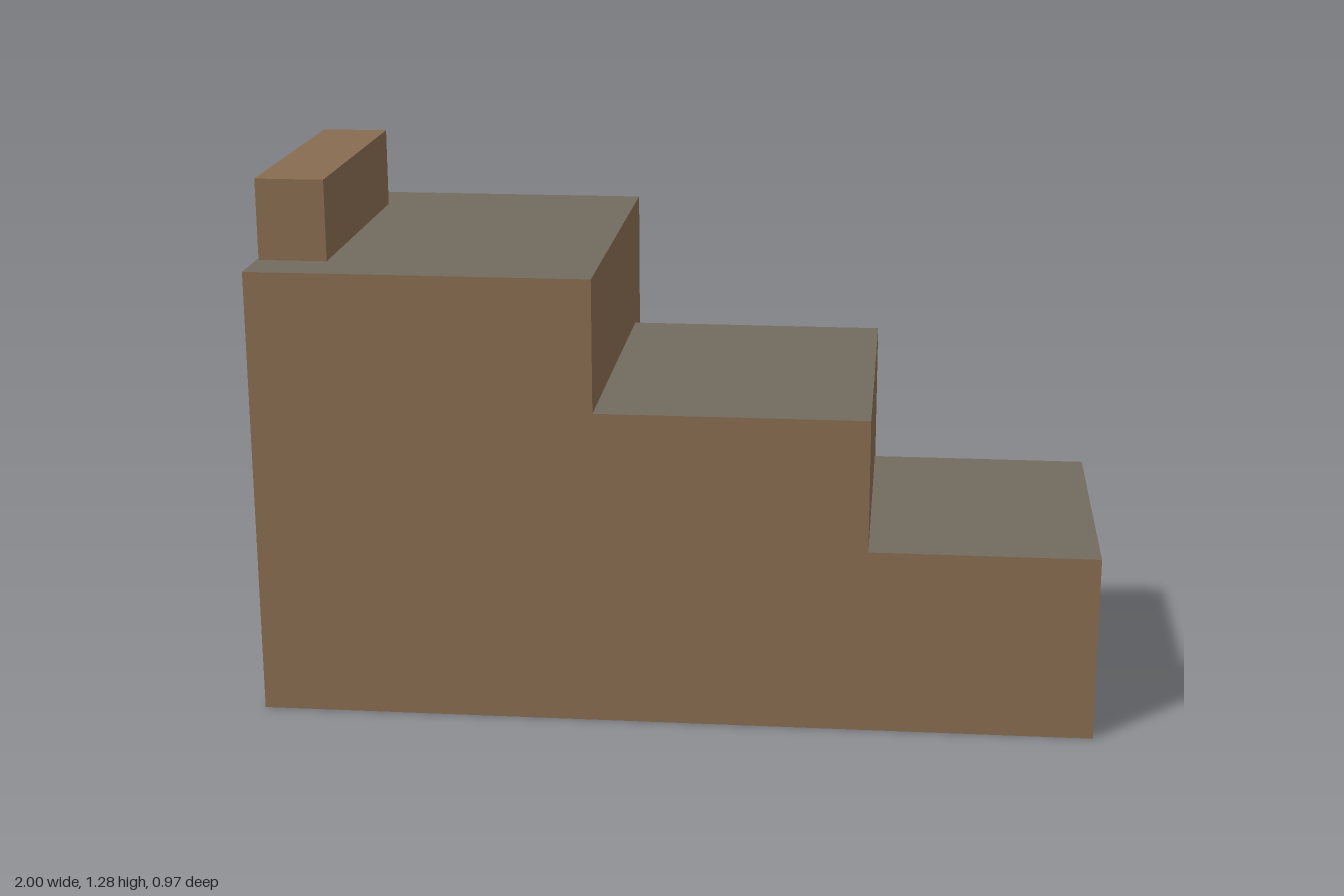
import * as THREE from 'three';

const FRONT = 0.483;

// Treads from the tall end to the low end: x range, height and back edge
const steps = [
  { name: 'upper', x0: -1, x1: -0.186, top: 1.09, back: -0.483 },
  { name: 'middle', x0: -0.186, x1: 0.46, top: 0.77, back: -0.376 },
  { name: 'lower', x0: 0.46, x1: 1, top: 0.45, back: -0.268 },
];

export function createModel() {
  const model = new THREE.Group();
  const wood = new THREE.MeshStandardMaterial({ color: 0x876b50, side: THREE.DoubleSide });
  wood.name = 'brown wood';
  const carpet = new THREE.MeshStandardMaterial({ color: 0x726a5e, side: THREE.DoubleSide });
  carpet.name = 'grey tread';

  const add = (name, geometry, material, parent = model) => {
    const mesh = new THREE.Mesh(geometry, material);
    mesh.name = name;
    parent.add(mesh);
    return mesh;
  };

  // One continuous stepped front panel
  const outline = new THREE.Shape();
  outline.moveTo(-1, 0);
  outline.lineTo(1, 0);
  for (const s of [...steps].reverse()) {
    outline.lineTo(s.x1, s.top);
    outline.lineTo(s.x0, s.top);
  }
  outline.closePath();
  add('frontPanel', new THREE.ShapeGeometry(outline).translate(0, 0, FRONT), wood);

  // Hollow steps, open underneath
  for (const s of steps) {
    const group = new THREE.Group();
    group.name = s.name + 'Step';
    const width = s.x1 - s.x0;
    const depth = FRONT - s.back;
    const midX = (s.x0 + s.x1) / 2;
    const midZ = (FRONT + s.back) / 2;

    add(s.name + 'Tread', new THREE.PlaneGeometry(width, depth)
      .rotateX(-Math.PI / 2).translate(midX, s.top, midZ), carpet, group);
    add(s.name + 'BackPanel', new THREE.PlaneGeometry(width, s.top)
      .rotateY(Math.PI).translate(midX, s.top / 2, s.back), wood, group);
    add(s.name + 'Riser', new THREE.PlaneGeometry(depth, s.top)
      .rotateY(Math.PI / 2).translate(s.x1, s.top / 2, midZ), wood, group);
    model.add(group);
  }

  // Tall end wall
  add('endWall', new THREE.PlaneGeometry(2 * FRONT, 1.09)
    .rotateY(-Math.PI / 2).translate(-1, 0.545, 0), wood);

  // Raised bar on the top tread
  add('topBar', new THREE.BoxGeometry(0.164, 0.195, 0.682)
    .translate(-0.913, 1.1875, 0.016), wood);

  return model;
}
